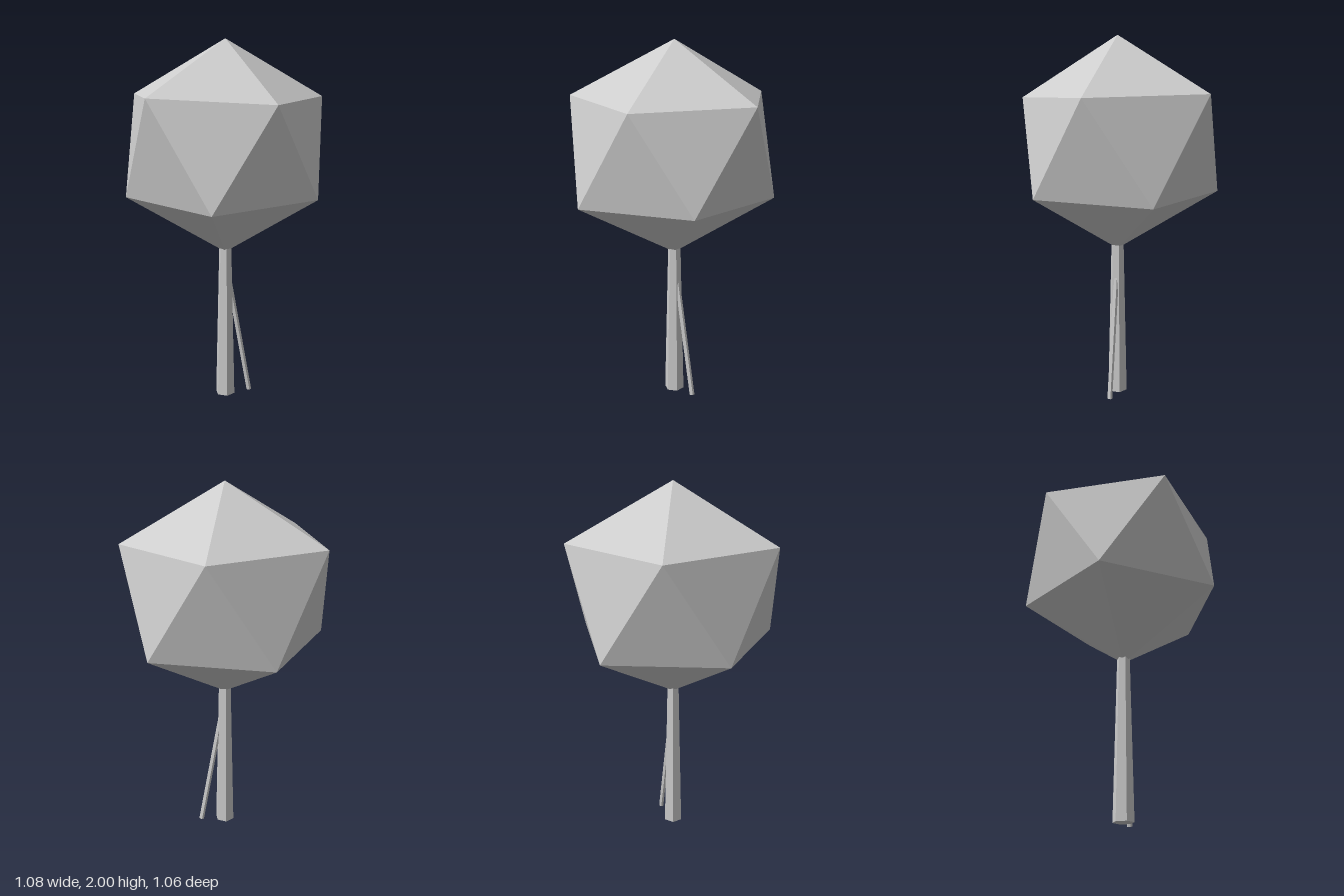
import * as THREE from 'three';

export function createModel() {
  const model = new THREE.Group();
  model.name = 'stakedTree';
  const grey = new THREE.MeshStandardMaterial({ color: 0xcccccc });
  grey.name = 'lightGrey';

  const add = (name, geometry) => {
    const flat = geometry.index ? geometry.toNonIndexed() : geometry;
    flat.computeVertexNormals(); // faceted, low-poly normals
    const mesh = new THREE.Mesh(flat, grey);
    mesh.name = name;
    model.add(mesh);
    return mesh;
  };

  // Crown: slightly irregular twenty-sided ball, two rings of five between two poles
  const top = [0, 2, 0];
  const bottom = [0, 0.85, 0];
  const upper = [
    [0.54, 1.7, 0], [0.17, 1.71, -0.53], [-0.455, 1.71, -0.33],
    [-0.455, 1.71, 0.33], [0.155, 1.68, 0.48],
  ];
  const lower = [
    [0.435, 1.18, -0.32], [-0.17, 1.175, -0.52], [-0.54, 1.18, 0],
    [-0.175, 1.17, 0.53], [0.425, 1.185, 0.31],
  ];
  const points = [];
  for (let k = 0; k < 5; k++) {
    const n = (k + 1) % 5;
    points.push(
      top, upper[k], upper[n],
      upper[k], lower[k], upper[n],
      lower[k], lower[n], upper[n],
      bottom, lower[n], lower[k],
    );
  }
  const crown = new THREE.BufferGeometry();
  crown.setAttribute('position', new THREE.Float32BufferAttribute(points.flat(), 3));
  add('crown', crown);

  // Trunk: tapered six-sided post whose top is hidden in the crown
  add('trunk', new THREE.CylinderGeometry(0.035, 0.056, 0.9, 6).translate(0, 0.45, 0));

  // Stake: thin six-sided stick leaning into the trunk
  const stake = add('stake', new THREE.CylinderGeometry(0.0145, 0.0145, 0.75, 6).translate(0, 0.375, 0));
  stake.position.set(0.142, 0.003, 0);
  stake.rotation.z = 0.174;

  return model;
}
